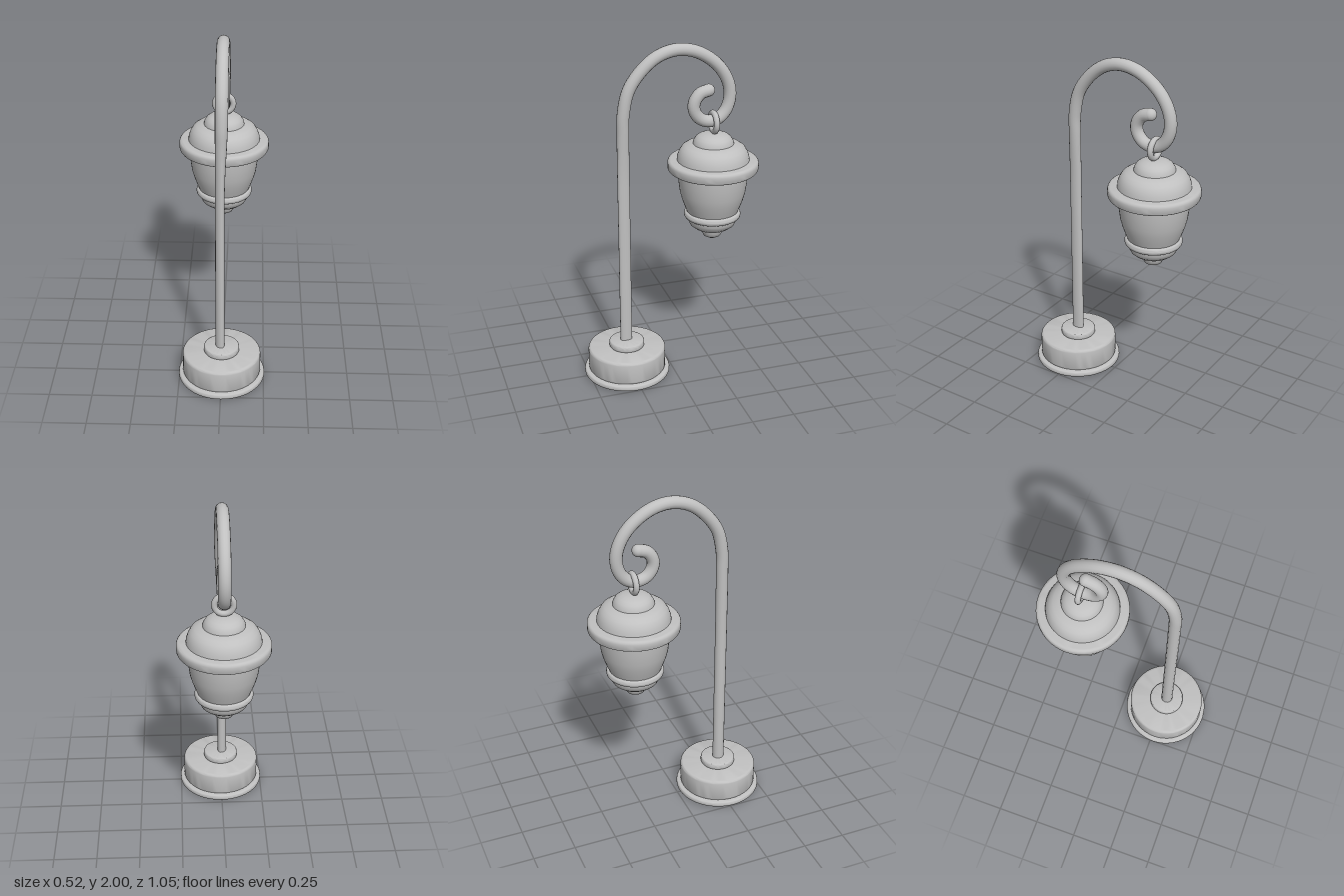
import * as THREE from 'three';
import { toCreasedNormals } from 'three/addons/utils/BufferGeometryUtils.js';

const metal = new THREE.MeshStandardMaterial({ color: 0xc0c0c0 });
metal.name = 'grey metal';

function addMesh(parent, name, geometry) {
  const mesh = new THREE.Mesh(geometry, metal);
  mesh.name = name;
  parent.add(mesh);
  return mesh;
}

// Turned part from [radius, height] pairs, listed bottom to top
function turned(parent, name, profile) {
  const points = profile.map(([r, y]) => new THREE.Vector2(r, y));
  return addMesh(parent, name, toCreasedNormals(new THREE.LatheGeometry(points, 48), 0.75));
}

// Disc with a rounded rim
function roundedDisc(parent, name, radius, y0, y1, bevel) {
  const profile = [[0, y0]];
  for (let i = 0; i <= 4; i++) {
    const a = (i / 4) * Math.PI / 2;
    profile.push([radius - bevel + bevel * Math.sin(a), y0 + bevel - bevel * Math.cos(a)]);
  }
  for (let i = 0; i <= 4; i++) {
    const a = (i / 4) * Math.PI / 2;
    profile.push([radius - bevel + bevel * Math.cos(a), y1 - bevel + bevel * Math.sin(a)]);
  }
  profile.push([0, y1]);
  return turned(parent, name, profile);
}

export function createModel() {
  const model = new THREE.Group();
  model.name = 'streetLamp';

  // Stepped round base
  const base = new THREE.Group();
  base.name = 'base';
  base.position.z = 0.27;
  model.add(base);
  roundedDisc(base, 'foot', 0.255, 0, 0.036, 0.014);
  roundedDisc(base, 'plinth', 0.23, 0.03, 0.175, 0.018);
  roundedDisc(base, 'collar', 0.104, 0.17, 0.212, 0.012);

  // Pole, arch and curled hook swept as one tube, as [z, y]
  const path = new THREE.CatmullRomCurve3([
    [0.272, 0.19], [0.272, 0.7], [0.272, 1.2], [0.271, 1.5], [0.268, 1.62],
    [0.235, 1.76], [0.15, 1.875], [0.06, 1.94], [-0.045, 1.965], [-0.16, 1.942],
    [-0.275, 1.863], [-0.337, 1.77], [-0.355, 1.68], [-0.335, 1.6], [-0.29, 1.55],
    [-0.235, 1.536], [-0.18, 1.555], [-0.145, 1.605], [-0.145, 1.655],
    [-0.18, 1.703], [-0.228, 1.718],
  ].map(([z, y]) => new THREE.Vector3(0, y, z)));
  const radius = 0.0355;
  const tube = new THREE.TubeGeometry(path, 180, radius, 16);
  // The straight pole is flattened on its left side
  const pos = tube.attributes.position;
  for (let i = 0; i < pos.count; i++) {
    if (pos.getX(i) > 0 && pos.getZ(i) > 0.2) {
      const t = THREE.MathUtils.smoothstep(pos.getY(i), 1.2, 1.7);
      pos.setX(i, pos.getX(i) * (0.5 + 0.5 * t));
    }
  }
  addMesh(model, 'poleAndHook', toCreasedNormals(tube, 1.0));
  const tip = addMesh(model, 'hookTip', new THREE.SphereGeometry(radius, 16, 12));
  tip.position.set(0, 1.718, -0.228);

  // Hanging lantern
  const lantern = new THREE.Group();
  lantern.name = 'lantern';
  lantern.position.z = -0.261;
  model.add(lantern);
  const ring = addMesh(lantern, 'hangingRing', new THREE.TorusGeometry(0.053, 0.017, 12, 32));
  ring.position.y = 1.527;

  turned(lantern, 'finial', [
    [0, 0.815], [0.03, 0.818], [0.05, 0.83], [0.06, 0.85], [0.066, 0.875], [0.07, 0.9],
  ]);
  turned(lantern, 'bowl', [
    [0, 0.868], [0.07, 0.873], [0.105, 0.885], [0.13, 0.905], [0.142, 0.93], [0.145, 0.96],
  ]);
  roundedDisc(lantern, 'lowerBand', 0.165, 0.946, 0.99, 0.02);
  turned(lantern, 'glass', [
    [0.146, 0.98], [0.162, 1.02], [0.178, 1.065], [0.19, 1.11], [0.198, 1.17],
    [0.203, 1.22], [0.204, 1.26],
  ]);
  roundedDisc(lantern, 'rim', 0.262, 1.24, 1.306, 0.02);
  turned(lantern, 'cap', [
    [0.21, 1.295], [0.206, 1.325], [0.197, 1.35], [0.182, 1.375], [0.16, 1.39],
    [0.13, 1.4], [0.08, 1.408], [0, 1.41],
  ]);
  turned(lantern, 'crown', [
    [0.118, 1.395], [0.115, 1.415], [0.102, 1.437], [0.085, 1.45], [0.06, 1.46], [0, 1.464],
  ]);

  return model;
}
